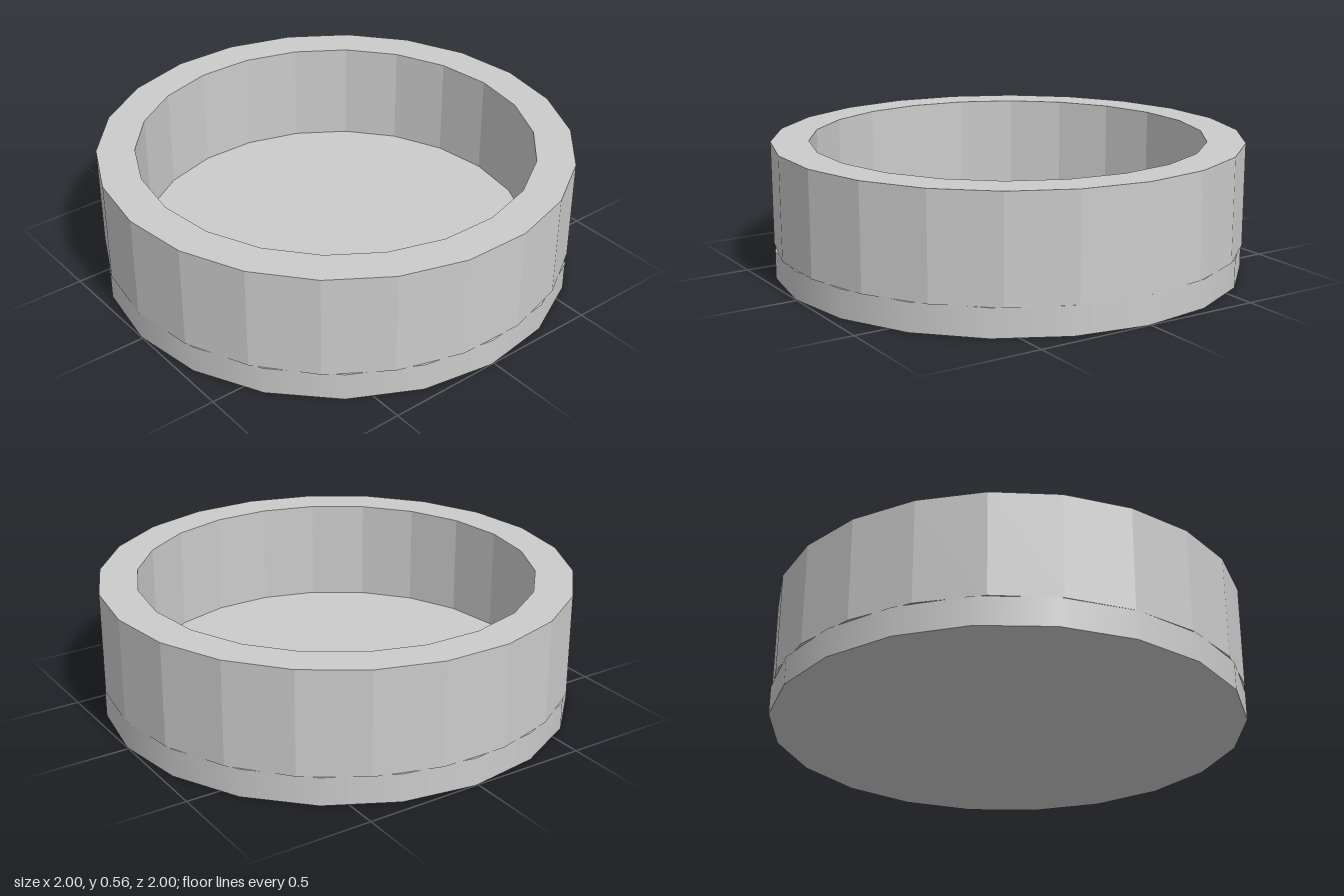
import * as THREE from 'three';

const BASE_HEIGHT = 0.12;
const HEIGHT = 0.56;
const OUTER = 1;
const INNER = 0.84;

export function createModel() {
  const model = new THREE.Group();
  model.name = 'roundTray';

  // Solid round floor, smooth sides with sharp rims
  const base = new THREE.Mesh(
    new THREE.CylinderGeometry(OUTER, OUTER, BASE_HEIGHT, 20, 1, false, THREE.MathUtils.degToRad(-0.6)),
    new THREE.MeshStandardMaterial({ color: 0xcccccc })
  );
  base.name = 'base';
  base.position.y = BASE_HEIGHT / 2;
  model.add(base);

  // Thick faceted wall: closed rectangular section swept around the axis
  const section = [
    [INNER, BASE_HEIGHT], [OUTER, BASE_HEIGHT], [OUTER, HEIGHT], [INNER, HEIGHT], [INNER, BASE_HEIGHT],
  ].map(([r, y]) => new THREE.Vector2(r, y));
  const wall = new THREE.Mesh(
    new THREE.LatheGeometry(section, 22, THREE.MathUtils.degToRad(7.3)),
    new THREE.MeshStandardMaterial({ color: 0xcccccc, flatShading: true })
  );
  wall.name = 'wall';
  model.add(wall);

  return model;
}
